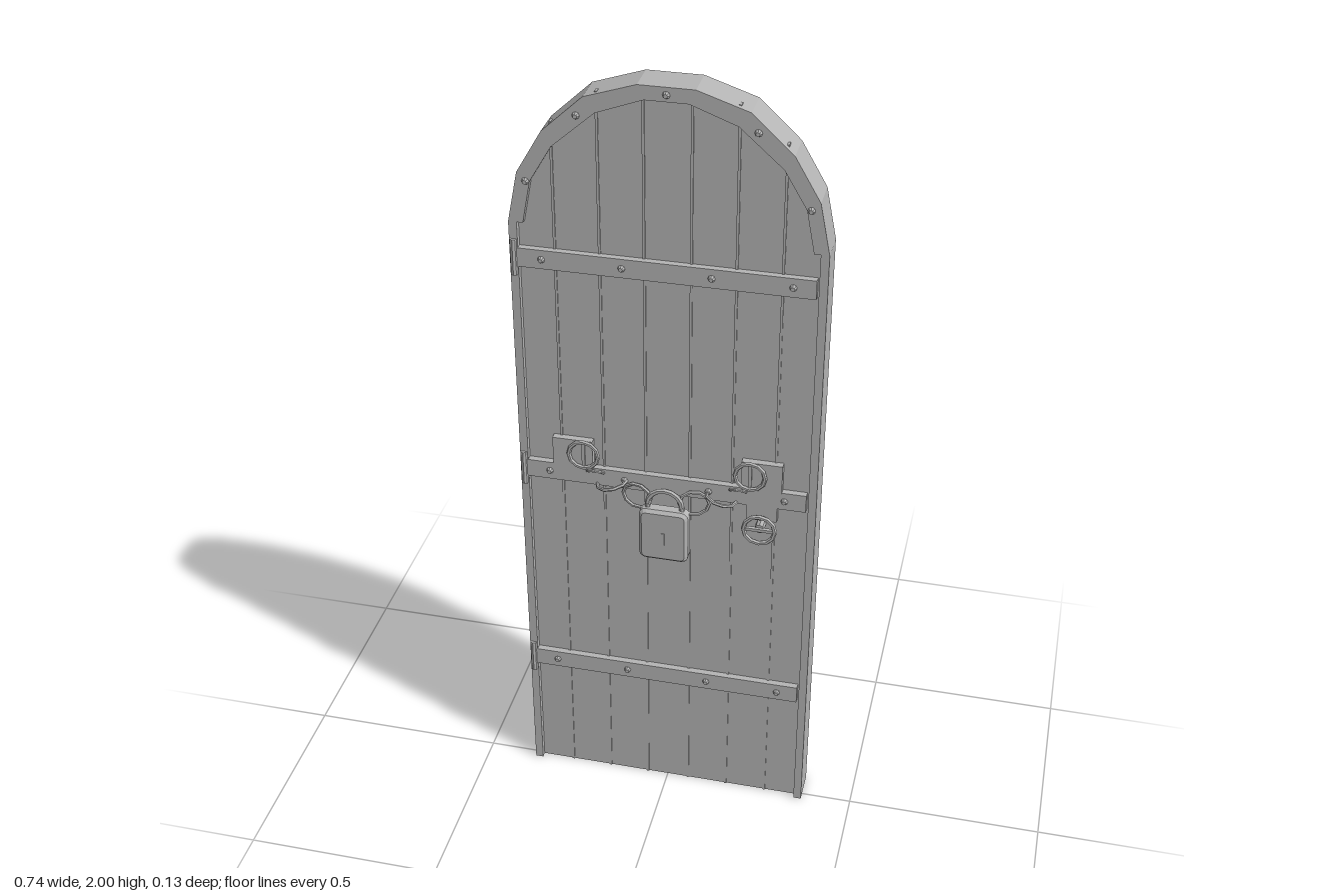
import * as THREE from 'three';

export function createModel() {
  const door = new THREE.Group();
  door.name = 'door';
  const grey = new THREE.MeshStandardMaterial({ color: 0xb5b5b5, flatShading: true });
  grey.name = 'grey';

  const add = (name, geometry, x = 0, y = 0, z = 0) => {
    const mesh = new THREE.Mesh(geometry, grey);
    mesh.name = name;
    mesh.position.set(x, y, z);
    door.add(mesh);
    return mesh;
  };
  // box given by its limits on each axis
  const box = (name, x0, x1, y0, y1, z0, z1) =>
    add(name, new THREE.BoxGeometry(x1 - x0, y1 - y0, z1 - z0), (x0 + x1) / 2, (y0 + y1) / 2, (z0 + z1) / 2);
  const extrude = (name, shape, z0, z1) =>
    add(name, new THREE.ExtrudeGeometry(shape, { depth: z1 - z0, bevelEnabled: false }), 0, 0, z0);
  const toShape = (pts) => new THREE.Shape(pts.map(([x, y]) => new THREE.Vector2(x, y)));
  const mirrored = (half) => [...half, ...half.map(([x, y]) => [-x, y]).reverse()];

  // Slab of planks and raised border
  const outer = [[0.37, 1.64], [0.345, 1.765], [0.284, 1.87], [0.187, 1.96], [0.065, 2]];
  const inner = [[0.335, 1.64], [0.315, 1.745], [0.262, 1.835], [0.16, 1.925], [0.05, 1.966]];
  extrude('slab', toShape(mirrored([[0.37, 0], ...outer])), -0.065, 0.005);
  extrude('archRim', toShape([...mirrored(outer), ...mirrored(inner).reverse()]), 0.005, 0.02);
  for (const s of [-1, 1]) {
    box('sidePost', s * 0.36 - 0.01, s * 0.36 + 0.01, 0, 1.64, 0.005, 0.02);
  }

  // Thin seams between planks, their tips showing through the arch
  const seamTop = { 0.055: 2.002, 0.16: 1.971, 0.266: 1.889 };
  for (const [x, top] of Object.entries(seamTop)) {
    for (const s of [-1, 1]) {
      const c = s * Number(x);
      box('plankSeam', c - 0.003, c + 0.003, 0, Math.min(top, 2), -0.008, 0.008);
    }
  }

  // Rivets
  const rivet = (x, y, z = 0.02) => {
    const m = add('rivet', new THREE.CylinderGeometry(0.005, 0.009, 0.008, 8), x, y, z + 0.004);
    m.rotation.x = Math.PI / 2;
  };
  [[-0.325, 1.745], [-0.203, 1.915], [0, 1.982], [0.203, 1.915], [0.325, 1.745]]
    .forEach(([x, y]) => rivet(x, y));

  // Straps with hinge knuckles on one side
  for (const y of [0.362, 0.966, 1.551]) {
    box('strap', -0.355, 0.345, y - 0.024, y + 0.024, 0.004, 0.0215);
    add('hinge', new THREE.CylinderGeometry(0.009, 0.009, 0.092, 8), -0.361, y, 0.019);
    for (const x of [-0.295, -0.105, 0.105, 0.292]) rivet(x, y, 0.0215);
  }

  // Ring of bevelled section; arc lets it be a half loop
  const ring = (name, r, tube, x, y, z, sides = 12, arc = Math.PI * 2) =>
    add(name, new THREE.TorusGeometry(r, tube, 6, sides, arc), x, y, z);

  // Anchor plates with rings and a bar across each
  for (const s of [-1, 1]) {
    box('anchorPlate', s * 0.235 - 0.05, s * 0.235 + 0.05, 0.985, 1.066, 0.004, 0.0225);
    ring('anchorRing', 0.037, 0.0055, s * 0.207, 1.028, 0.026);
    box('anchorBar', s * 0.207 - 0.004, s * 0.207 + 0.004, 0.993, 1.063, 0.02, 0.027);
  }

  // Pull ring on a small tab
  box('pullTab', 0.2, 0.275, 0.9, 0.943, 0.004, 0.02);
  ring('pullRing', 0.039, 0.006, 0.235, 0.882, 0.036);
  box('pullBar', 0.199, 0.271, 0.878, 0.886, 0.03, 0.039);
  const pin = add('pullPin', new THREE.CylinderGeometry(0.012, 0.012, 0.028, 8), 0.235, 0.882, 0.018);
  pin.rotation.x = Math.PI / 2;

  // Chain: links standing out from the door, then flat links to the lock
  for (const s of [-1, 1]) {
    const link = ring('standingLink', 0.04, 0.0045, s * 0.137, 0.955, 0.016, 10);
    link.rotation.set(Math.PI / 2, s * -0.25, 0);
    const tie = ring('smallLink', 0.02, 0.004, s * 0.178, 0.982, 0.024, 8);
    tie.rotation.set(0.9, 0, s * 0.9);
    const flat = ring('flatLink', 0.037, 0.005, s * 0.072, 0.932, 0.03, 10);
    flat.scale.y = 0.9;
    flat.rotation.y = s * 0.2;
  }

  // Padlock
  const r = 0.012, w = 0.054, h = 0.066;
  const body = new THREE.Shape();
  body.moveTo(-w + r, -h);
  body.lineTo(w - r, -h);
  body.quadraticCurveTo(w, -h, w, -h + r);
  body.lineTo(w, h - r);
  body.quadraticCurveTo(w, h, w - r, h);
  body.lineTo(-w + r, h);
  body.quadraticCurveTo(-w, h, -w, h - r);
  body.lineTo(-w, -h + r);
  body.quadraticCurveTo(-w, -h, -w + r, -h);
  add('padlockBody', new THREE.ExtrudeGeometry(body, {
    depth: 0.023, bevelThickness: 0.008, bevelSize: 0.008, bevelSegments: 1, curveSegments: 3,
  }), 0, 0.839, 0.03);
  ring('shackle', 0.043, 0.007, 0, 0.92, 0.04, 8, Math.PI);
  for (const s of [-1, 1]) {
    add('shackleLeg', new THREE.CylinderGeometry(0.007, 0.007, 0.03, 6), s * 0.043, 0.908, 0.04);
  }
  box('keyhole', -0.004, 0.004, 0.815, 0.85, 0.06, 0.063);

  return door;
}
